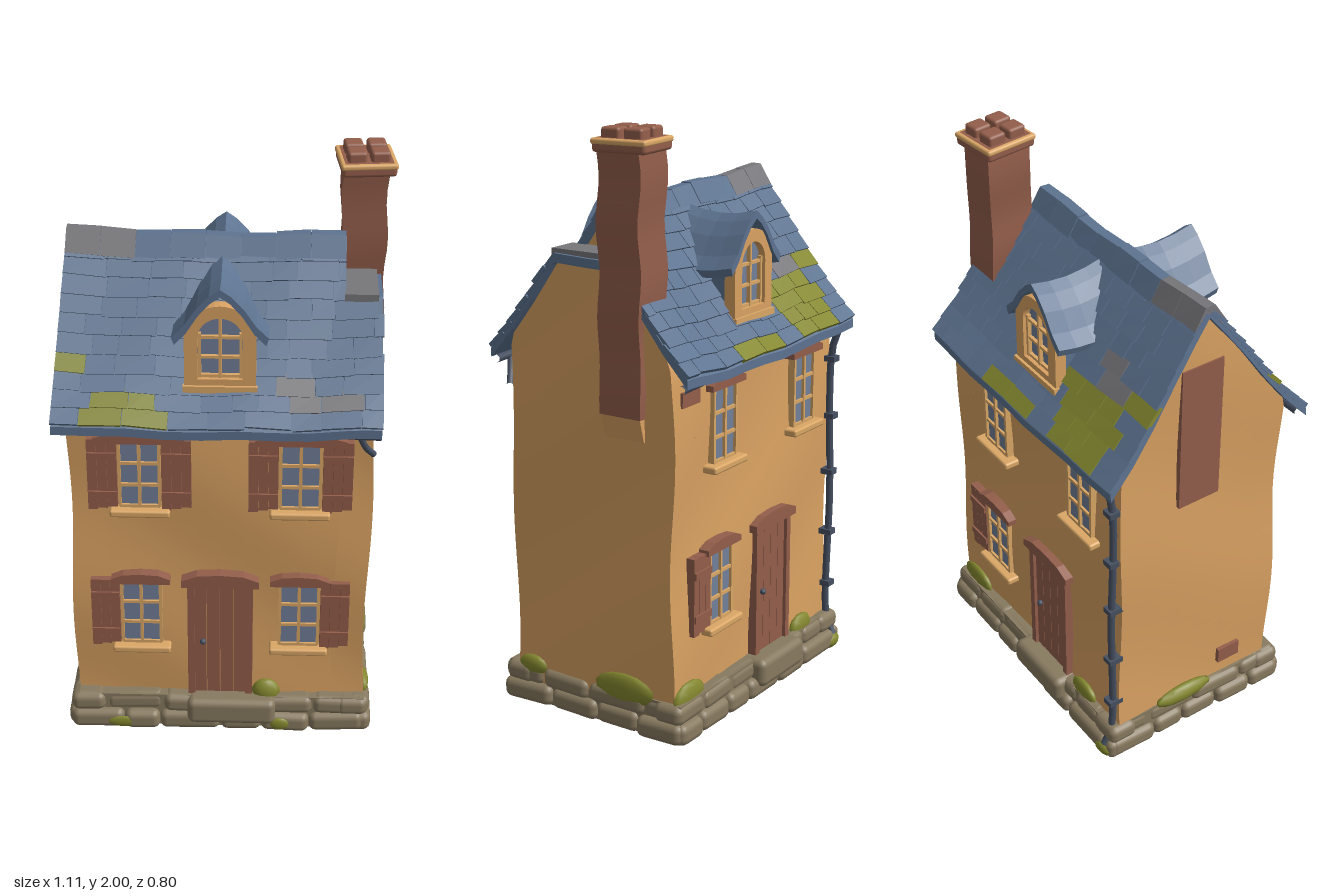
import * as THREE from 'three';
import { mergeGeometries } from 'three/addons/utils/BufferGeometryUtils.js';
import { RoundedBoxGeometry } from 'three/addons/geometries/RoundedBoxGeometry.js';

const mat = (name, color) => Object.assign(new THREE.MeshStandardMaterial({ color }), { name });
const M = {
  plaster: mat('ochre plaster', 0xdaa262), slate: mat('blue slate', 0x5d7390), brown: mat('brown wood and brick', 0x935e4b),
  stone: mat('foundation stone', 0x887a60), moss: mat('moss', 0x84882f), grey: mat('grey lead', 0x77777b),
  glass: mat('window glass', 0x71809a), trim: mat('window trim', 0xdba766), iron: mat('dark iron', 0x465061),
};
let seed = 7;
const rnd = (a, b) => { seed = (seed * 16807) % 2147483647; return a + (b - a) * seed / 2147483647; };

// roof section: distance from the ridge, height
const PROF = [[0, 1.75], [0.05, 1.685], [0.13, 1.575], [0.22, 1.445], [0.3, 1.34], [0.39, 1.24]];
const NOTCH = [[0, 1.585], [0.122, 1.585], ...PROF.slice(2)];
const lerpList = (list, v, a, b) => {
  for (let i = 1; i < list.length; i++) {
    const p = list[i - 1], q = list[i];
    if ((v - p[a]) * (v - q[a]) <= 0) return p[b] + (q[b] - p[b]) * (v - p[a]) / (q[a] - p[a]);
  }
  return v > list[0][a] ? list[0][b] : list[list.length - 1][b];
};
const roofY = z => lerpList(PROF, Math.abs(z), 0, 1);

function warp(geo, fn) {
  const p = geo.attributes.position, v = new THREE.Vector3();
  for (let i = 0; i < p.count; i++) { fn(v.fromBufferAttribute(p, i)); p.setXYZ(i, v.x, v.y, v.z); }
  geo.computeVertexNormals();
  return geo;
}
// sagging ridge and a left verge that spreads towards the eaves
const roofWarp = v => {
  v.y -= 0.014 * (1 - Math.min(1, 4 * v.x * v.x)) + 0.004 * Math.sin(17 * v.x + 9 * v.z);
  if (v.x < 0) v.x *= 1 + 0.14 * Math.max(0, 1.75 - v.y);
};
const wallWarp = v => {
  const { x, y, z } = v;
  v.x += 0.007 * Math.sin(7 * y + 5 * z);
  v.z += 0.007 * Math.sin(6 * x + 8 * y);
};
function add(group, name, geo, material) {
  const m = new THREE.Mesh(geo, material);
  m.name = name;
  group.add(m);
  return m;
}
const block = (x0, x1, y0, y1, z0, z1, sx = 1, sy = 1, sz = 1) =>
  new THREE.BoxGeometry(x1 - x0, y1 - y0, z1 - z0, sx, sy, sz).translate((x0 + x1) / 2, (y0 + y1) / 2, (z0 + z1) / 2);
const box = (g, name, m, ...b) => add(g, name, block(...b), m);
const extrude = (pts, depth, steps = 1) =>
  new THREE.ExtrudeGeometry(new THREE.Shape(pts.map(p => new THREE.Vector2(...p))), { depth, steps, bevelEnabled: false });
const tube = (g, name, m, r, ...pts) => add(g, name,
  new THREE.TubeGeometry(new THREE.CatmullRomCurve3(pts.map(p => new THREE.Vector3(...p))), 16, r, 7), m);
function archShape(w, y0, y1, cls = THREE.Shape) {
  const s = new cls();
  s.moveTo(-w, y0).lineTo(w, y0).lineTo(w, y1 - w);
  s.absarc(0, y1 - w, w, 0, Math.PI);
  s.lineTo(-w, y0);
  return s;
}

const F = 0.325; // facade plane
function lintel(g, x, y, w, h) {
  add(g, 'lintel', extrude([[-w, 0], [w, 0], [w, h * 0.5], [w * 0.6, h * 0.9], [0, h], [-w * 0.6, h * 0.9], [-w, h * 0.5]], 0.045)
    .translate(x, y, F - 0.015), M.brown);
}
function windowUnit(parent, x, y, h, shutters, lintelHalf) {
  const g = new THREE.Group(); g.name = 'window'; parent.add(g);
  const w = 0.066, t = 0.011;
  box(g, 'glass', M.glass, x - w, x + w, y, y + h, F - 0.01, F + 0.006);
  for (const s of [-1, 0, 1]) box(g, 'upright bar', M.trim, x + s * w - t / 2, x + s * w + t / 2, y, y + h, F - 0.01, F + 0.016);
  for (let i = 0; i < 4; i++) box(g, 'cross bar', M.trim, x - w, x + w, y + i * h / 3 - t / 2, y + i * h / 3 + t / 2, F - 0.01, F + 0.014);
  add(g, 'sill', new RoundedBoxGeometry(0.2, 0.026, 0.06, 2, 0.008).translate(x, y - 0.018, F + 0.012), M.trim);
  lintel(g, x, y + h, lintelHalf, 0.04);
  for (const s of shutters) {
    const c = x + s * 0.122;
    for (const k of [-1, 0, 1]) box(g, 'shutter board', M.brown, c + k * 0.033 - 0.016, c + k * 0.033 + 0.016, y - 0.005 + 0.006 * k, y + h + 0.01, F - 0.01, F + 0.02);
    for (const k of [0.2, 0.8]) box(g, 'shutter batten', M.brown, c - 0.048, c + 0.048, y + h * k - 0.012, y + h * k + 0.012, F, F + 0.027);
  }
}
function door(parent, x) {
  const g = new THREE.Group(); g.name = 'door'; parent.add(g);
  for (let i = 0; i < 4; i++) box(g, 'door board', M.brown, x - 0.092 + i * 0.046, x - 0.048 + i * 0.046, 0.14, 0.6, F - 0.02, F + 0.008);
  for (const s of [-1, 1]) box(g, 'door post', M.brown, x + s * 0.1 - 0.012, x + s * 0.1 + 0.012, 0.13, 0.6, F - 0.02, F + 0.02);
  lintel(g, x, 0.595, 0.132, 0.052);
  add(g, 'door handle', new THREE.SphereGeometry(0.011, 8, 6).translate(x - 0.06, 0.36, F + 0.015), M.iron);
}
function dormer(parent) {
  const g = new THREE.Group(); g.name = 'dormer'; parent.add(g);
  box(g, 'dormer cheeks', M.slate, -0.105, 0.105, 1.36, 1.55, 0.06, 0.275);
  const s = archShape(0.115, 1.335, 1.63);
  s.holes.push(archShape(0.072, 1.372, 1.588, THREE.Path));
  add(g, 'dormer frame', new THREE.ExtrudeGeometry(s, { depth: 0.04, bevelEnabled: false, curveSegments: 10 }).translate(0, 0, 0.265), M.plaster);
  add(g, 'dormer glass', new THREE.ShapeGeometry(archShape(0.075, 1.37, 1.59)).translate(0, 0, 0.28), M.glass);
  for (const x of [-0.066, 0, 0.066]) box(g, 'dormer bar', M.trim, x - 0.005, x + 0.005, 1.37, x ? 1.53 : 1.588, 0.278, 0.294);
  for (const y of [1.378, 1.445, 1.515]) box(g, 'dormer cross bar', M.trim, -0.072, 0.072, y - 0.005, y + 0.005, 0.278, 0.292);
  box(g, 'dormer sill', M.trim, -0.12, 0.12, 1.325, 1.35, 0.26, 0.315);
  const half = [[0, 1.692], [0.035, 1.668], [0.075, 1.625], [0.115, 1.565], [0.155, 1.525]];
  const top = [...half.slice(1).reverse().map(([x, y]) => [-x, y]), ...half];
  const hood = [...top, ...top.map(([x, y]) => [x * 0.94, y - 0.026]).reverse()].reverse();
  add(g, 'dormer roof', warp(extrude(hood, 0.27, 4).translate(0, 0, 0.045), v => { v.y -= 0.02 * Math.sin((v.z - 0.045) * 11.6); }), M.slate);
}

// moss and bare patches on the roof: x0, x1, z0, z1
const MOSS = [[-0.56, -0.42, 0.22, 0.28], [-0.42, -0.22, 0.3, 0.37], [0.03, 0.15, 0.34, 0.4], [-0.42, -0.12, -0.4, -0.25], [-0.52, -0.32, -0.25, -0.19], [-0.05, 0.18, -0.4, -0.35]];
const BARE = [[0.2, 0.34, 0.27, 0.33], [-0.33, -0.2, -0.25, -0.18], [0.28, 0.4, 0.3, 0.35]];
const inside = (list, x, z) => list.some(([a, b, c, d]) => x > a && x < b && z > c && z < d);

function roof(parent) {
  const g = new THREE.Group(); g.name = 'roof'; parent.add(g);
  const shell = (prof, x0, x1) => {
    const top = [...prof.slice(1).reverse().map(([z, y]) => [-z, y]), ...prof];
    return warp(extrude([...top, ...top.map(([z, y]) => [z, y - 0.03]).reverse()].reverse(), x1 - x0, 8)
      .rotateY(Math.PI / 2).translate(x0, 0, 0), roofWarp);
  };
  add(g, 'main roof', shell(PROF, -0.505, 0.4), M.slate);
  add(g, 'lower roof end', shell(NOTCH, 0.4, 0.52), M.slate);
  box(g, 'lead flashing', M.grey, 0.395, 0.505, 1.575, 1.6, -0.08, 0.14);
  // overlapping slate courses
  const bins = { slate: [], moss: [], grey: [] };
  for (const s of [-1, 1]) for (let k = 0; k < 10; k++) {
    const z = 0.035 + k * 0.0365;
    const a = Math.atan2(roofY(z - 0.02) - roofY(z + 0.02), 0.04);
    const end = z < 0.14 ? 0.4 : 0.525;
    for (let x = -0.51; x < end - 0.02;) {
      const w = Math.min(rnd(0.07, 0.15), end - x), c = x + w / 2;
      const geo = new THREE.BoxGeometry(w - 0.003, 0.014, rnd(0.066, 0.08)).toNonIndexed();
      geo.rotateY(rnd(-0.03, 0.03)).rotateX(s * (a - 0.1)).translate(c, roofY(z) + 0.006, s * z);
      warp(geo, roofWarp);
      bins[inside(MOSS, c, s * z) ? 'moss' : inside(BARE, c, s * z) ? 'grey' : 'slate'].push(geo);
      x += w;
    }
  }
  for (const k in bins) add(g, k + ' roof tiles', mergeGeometries(bins[k]), M[k]);
  for (let i = 0; i < 8; i++) {
    const cap = extrude([[-0.06, 1.69], [-0.05, 1.675], [0, 1.735], [0.05, 1.675], [0.06, 1.69], [0.018, 1.758], [-0.018, 1.758]], 0.112);
    add(g, 'ridge tile', warp(cap.rotateY(Math.PI / 2).translate(-0.508 + i * 0.1135, rnd(0, 0.006), 0), roofWarp), i === 0 || i === 1 ? M.grey : M.slate);
  }
  for (const s of [-1, 1]) tube(g, 'gutter', M.iron, 0.014, [-0.53, 1.225, s * 0.365], [-0.2, 1.212, s * 0.368], [0.2, 1.216, s * 0.365], [0.52, 1.208, s * 0.368]);
}

function chimney(parent) {
  const g = new THREE.Group(); g.name = 'chimney'; parent.add(g);
  add(g, 'chimney stack', warp(block(0.385, 0.532, 1.09, 1.93, -0.22, -0.062, 2, 16, 2), v => {
    v.x += 0.005 * Math.sin(v.y * 23); v.z += 0.004 * Math.sin(v.y * 19 + 1);
  }), M.brown);
  add(g, 'chimney corbel', warp(block(0.47, 0.53, 1.01, 1.1, -0.215, -0.065), v => { if (v.y < 1.05) v.x = Math.min(v.x, 0.505); }), M.plaster);
  const top = new THREE.Group(); top.name = 'chimney top';
  top.position.set(0.46, 0, -0.145); top.rotation.y = 0.1; g.add(top);
  add(top, 'chimney cap', new RoundedBoxGeometry(0.178, 0.045, 0.19, 2, 0.012).translate(0, 1.945, 0), M.brown);
  add(top, 'chimney slab', new RoundedBoxGeometry(0.185, 0.02, 0.195, 2, 0.008).translate(0, 1.957, 0), M.trim);
  for (const x of [-1, 1]) for (const z of [-1, 1])
    add(top, 'chimney pot', new RoundedBoxGeometry(0.062, 0.06, 0.066, 2, 0.01).translate(x * 0.038, 1.97, z * 0.04), M.brown);
}

function foundation(parent) {
  const g = new THREE.Group(); g.name = 'foundation'; parent.add(g);
  box(g, 'foundation core', M.stone, -0.505, 0.505, 0.005, 0.135, -0.355, 0.355);
  const stones = [];
  const row = (len, y, h, out, place) => {
    for (let x = -len; x < len - 0.03;) {
      const w = Math.min(rnd(0.12, 0.23), len - x);
      const geo = new RoundedBoxGeometry(w, h, 0.11, 2, 0.026).rotateZ(rnd(-0.04, 0.04)).translate(x + w / 2, y, out - 0.055 + rnd(-0.012, 0.004));
      stones.push(place(geo));
      x += w;
    }
  };
  for (const [y, h, inset] of [[0.038, 0.074, 0], [0.102, 0.07, 0.015]]) for (const k of [0, 1, 2, 3]) {
    const side = k % 2;
    row(side ? 0.37 : 0.525, y, h, (side ? 0.535 : 0.385) - inset, q => q.rotateY(k * Math.PI / 2));
  }
  add(g, 'foundation stones', mergeGeometries(stones), M.stone);
  add(g, 'front step', new RoundedBoxGeometry(0.31, 0.1, 0.13, 2, 0.025).translate(0.04, 0.09, 0.335), M.stone);
  add(g, 'back step', new RoundedBoxGeometry(0.28, 0.1, 0.13, 2, 0.025).translate(-0.08, 0.09, -0.338), M.stone);
  // moss clumps: centre, then radii
  for (const [x, y, z, a, b, c] of [[0.16, 0.145, 0.33, 0.05, 0.05, 0.03], [-0.34, 0.035, 0.382, 0.06, 0.022, 0.008], [0.21, 0.04, 0.385, 0.035, 0.025, 0.01],
    [0.505, 0.145, -0.13, 0.02, 0.055, 0.12], [0.505, 0.14, 0.25, 0.02, 0.035, 0.06], [0.42, 0.14, -0.33, 0.09, 0.05, 0.02],
    [-0.505, 0.14, -0.05, 0.025, 0.035, 0.12], [-0.3, 0.14, -0.335, 0.07, 0.045, 0.02], [-0.47, 0.03, -0.365, 0.05, 0.03, 0.03]])
    add(g, 'moss clump', new THREE.SphereGeometry(1, 10, 7).scale(a, b, c).translate(x, y, z), M.moss);
}

export function createModel() {
  const house = new THREE.Group(); house.name = 'house';
  // walls narrow into the gables above the eaves
  const wall = (x0, x1, top) => warp(block(x0, x1, 0.08, top, -0.32, 0.32, 10, 28, 6), v => {
    if (v.y > 1.24) v.z *= Math.min(0.32, lerpList(PROF, v.y + 0.025, 1, 0)) / 0.32;
    wallWarp(v);
  });
  add(house, 'main walls', wall(-0.5, 0.39, 1.72), M.plaster);
  add(house, 'end walls', wall(0.39, 0.5, 1.578), M.plaster);
  box(house, 'brick patch', M.brown, -0.512, -0.48, 1.02, 1.56, -0.1, 0.06);
  box(house, 'low brick patch', M.brown, -0.51, -0.48, 0.2, 0.26, 0.1, 0.19);

  const front = new THREE.Group(); front.name = 'front facade'; house.add(front);
  for (const s of [-1, 1]) {
    windowUnit(front, s * 0.265, 0.91, 0.245, [-1, 1], 0.15);
    windowUnit(front, s * 0.27, 0.355, 0.25, [s], 0.1);
  }
  door(front, 0);
  dormer(front);

  const back = new THREE.Group(); back.name = 'back facade'; back.rotation.y = Math.PI; house.add(back);
  windowUnit(back, -0.22, 0.91, 0.245, [], 0.1);
  windowUnit(back, 0.29, 0.91, 0.245, [], 0.1);
  windowUnit(back, -0.24, 0.355, 0.25, [-1], 0.1);
  door(back, 0.09);
  dormer(back);
  box(back, 'bare bricks', M.brown, -0.46, -0.36, 1.13, 1.18, F - 0.02, F + 0.007);

  roof(house);
  chimney(house);
  foundation(house);
  // rainwater pipes
  tube(house, 'back downpipe', M.iron, 0.013, [-0.48, 1.22, -0.37], [-0.48, 1.13, -0.342], [-0.482, 0.6, -0.345], [-0.48, 0.09, -0.348], [-0.48, 0.05, -0.375]);
  for (const y of [0.25, 0.45, 0.68, 0.89, 1.1]) box(house, 'pipe bracket', M.iron, -0.5, -0.46, y - 0.01, y + 0.01, -0.362, -0.31);
  tube(house, 'front spout', M.iron, 0.011, [0.45, 1.21, 0.365], [0.47, 1.16, 0.35], [0.5, 1.12, 0.33]);
  return house;
}
